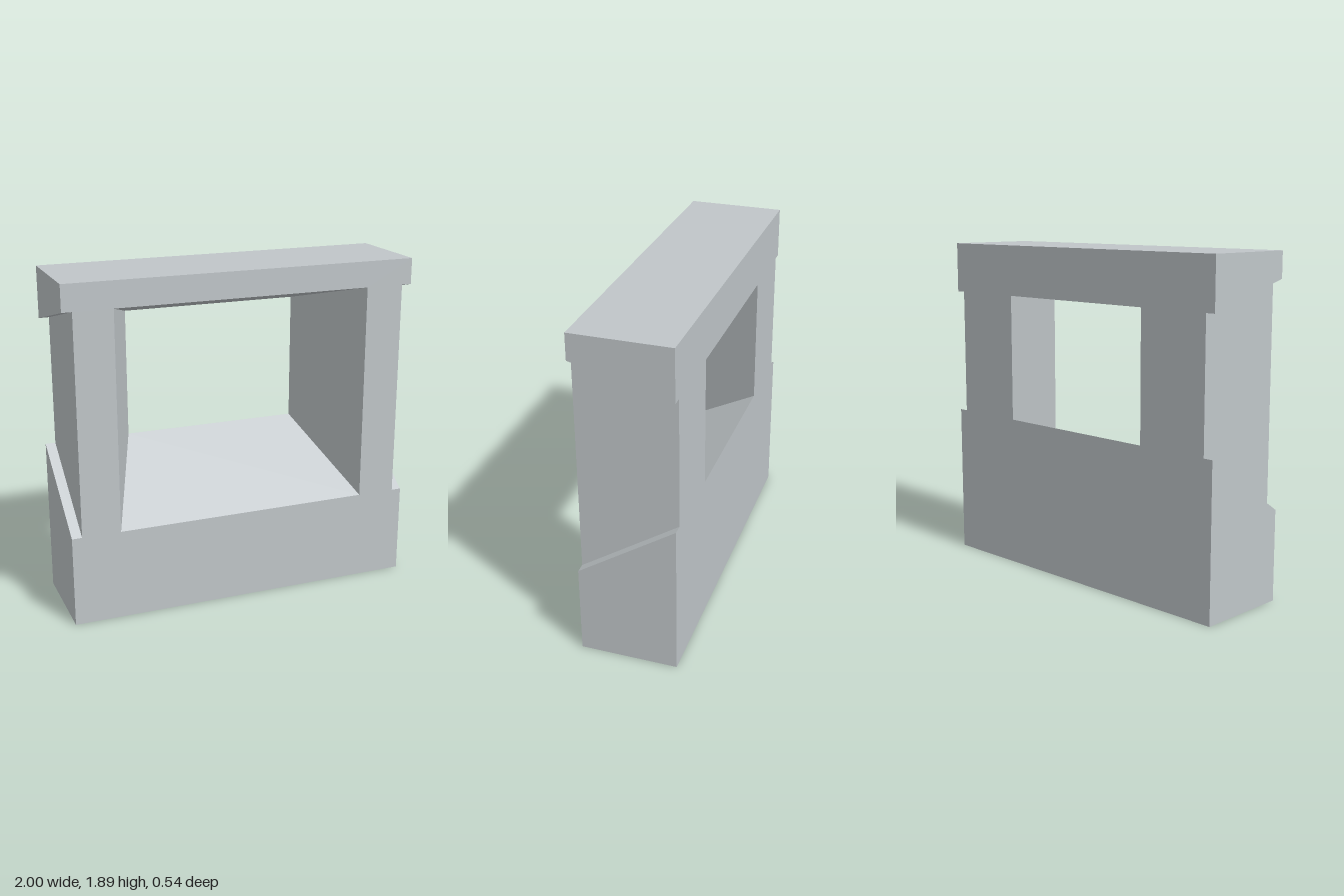
import * as THREE from 'three';
import { mergeGeometries } from 'three/addons/utils/BufferGeometryUtils.js';

const DEPTH = 0.272; // half thickness of the wall
const HEIGHT = 1.893;
const NOTCH_X = 0.944;

// Counter-clockwise outer loop with a notch in each side
function outline({ low, high }) {
  const right = [[1, 0], [1, low], [NOTCH_X, low], [NOTCH_X, high], [1, high], [1, HEIGHT]];
  const left = right.map(([x, y]) => [-x, y]).reverse();
  return [...right, ...left].map(([x, y]) => new THREE.Vector2(x, y));
}

// Clockwise loop of the opening
function opening({ half, low, high }) {
  return [[-half, low], [-half, high], [half, high], [half, low]].map(([x, y]) => new THREE.Vector2(x, y));
}

// Flat wall face with the opening cut out, facing +z
function wallFace(section) {
  const shape = new THREE.Shape(outline(section));
  shape.holes.push(new THREE.Path(opening(section)));
  const face = new THREE.ShapeGeometry(shape);
  face.translate(0, 0, DEPTH);
  return face;
}

// Flat strips joining a front loop to its matching back loop
function joinLoops(front, back) {
  const positions = [];
  front.forEach((p, i) => {
    const j = (i + 1) % front.length;
    const a = [p.x, p.y, DEPTH];
    const b = [back[i].x, back[i].y, -DEPTH];
    const c = [back[j].x, back[j].y, -DEPTH];
    const d = [front[j].x, front[j].y, DEPTH];
    positions.push(...a, ...b, ...c, ...a, ...c, ...d);
  });
  const geometry = new THREE.BufferGeometry();
  geometry.setAttribute('position', new THREE.Float32BufferAttribute(positions, 3));
  geometry.computeVertexNormals();
  return geometry;
}

export function createModel() {
  const group = new THREE.Group();
  group.name = 'windowWall';
  const stone = new THREE.MeshStandardMaterial({ color: 0xc0c6c9 });
  stone.name = 'pale grey stone';

  // The opening and notches narrow from front to back
  const front = { half: 0.727, low: 0.512, high: 1.747 };
  const back = { half: 0.511, low: 0.875, high: 1.604 };

  const add = (name, geometry) => {
    const mesh = new THREE.Mesh(geometry, stone);
    mesh.name = name;
    group.add(mesh);
  };

  // Front and back faces; the back one is turned half round
  add('wallFaces', mergeGeometries([wallFace(front), wallFace(back).rotateY(Math.PI)]));
  // Base, top, ends and sloping side notches
  add('outerEdges', joinLoops(outline(front), outline(back)));
  // Sloping sill, head and splayed jambs
  add('windowReveal', joinLoops(opening(front), opening(back)));
  return group;
}
